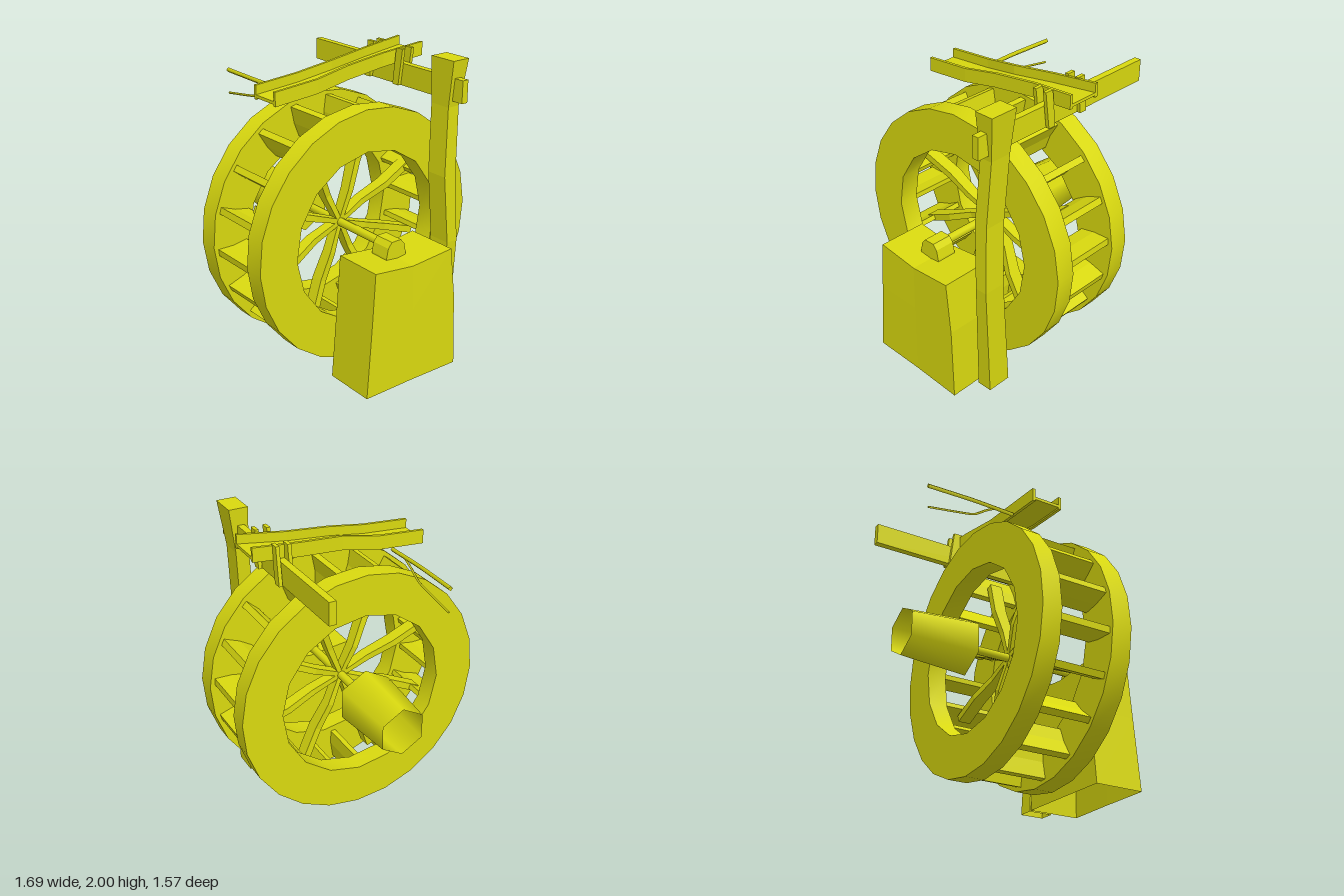
import * as THREE from 'three';
import { toCreasedNormals } from 'three/addons/utils/BufferGeometryUtils.js';

const AXLE_Y = 0.873;

// Joins rings of corners (counter-clockwise seen from the far end) with flat faces
function loft(rings, openStart = false) {
  const pos = [];
  const quad = (a, b, c, d) => [a, b, c, a, c, d].forEach((p) => pos.push(...p));
  const n = rings[0].length;
  for (let k = 0; k < rings.length - 1; k++) {
    for (let i = 0; i < n; i++) {
      const j = (i + 1) % n;
      quad(rings[k][i], rings[k][j], rings[k + 1][j], rings[k + 1][i]);
    }
  }
  const first = rings[0], last = rings[rings.length - 1];
  for (let i = 0; i < n / 2 - 1; i++) {
    quad(last[i], last[i + 1], last[n - 2 - i], last[n - 1 - i]);
    if (!openStart) quad(first[n - 1 - i], first[n - 2 - i], first[i + 1], first[i]);
  }
  const g = new THREE.BufferGeometry();
  g.setAttribute('position', new THREE.Float32BufferAttribute(pos, 3));
  g.computeVertexNormals();
  return g;
}

// Rectangular section across x, and across y
const ringX = (x, y0, y1, z0, z1) => [[x, y0, z1], [x, y0, z0], [x, y1, z0], [x, y1, z1]];
const ringY = (y, x0, x1, z0, z1) => [[x0, y, z1], [x1, y, z1], [x1, y, z0], [x0, y, z0]];

export function createModel() {
  const model = new THREE.Group();
  model.name = 'waterWheel';
  const wood = new THREE.MeshStandardMaterial({ color: 0xd9d90f, side: THREE.DoubleSide });
  wood.name = 'yellowWood';

  const add = (name, geometry, parent = model) => {
    const mesh = new THREE.Mesh(geometry, wood);
    mesh.name = name;
    parent.add(mesh);
    return mesh;
  };

  // Wheel, turning about its own z axis
  const wheel = new THREE.Group();
  wheel.name = 'wheel';
  wheel.position.y = AXLE_Y;
  model.add(wheel);

  const polygon = (r, n) => Array.from({ length: n }, (_, i) => {
    const a = THREE.MathUtils.degToRad(92) + (i / n) * Math.PI * 2;
    return new THREE.Vector2(r * Math.cos(a), r * Math.sin(a));
  });
  const rim = (name, z0, z1) => {
    const shape = new THREE.Shape(polygon(0.847, 24));
    shape.holes.push(new THREE.Path(polygon(0.572, 16).reverse()));
    const g = new THREE.ExtrudeGeometry(shape, { depth: z1 - z0, bevelEnabled: false });
    add(name, toCreasedNormals(g, 0.6), wheel).position.z = z0;
  };
  rim('frontRim', 0.21, 0.35);
  rim('backRim', -0.295, -0.16);

  // Slightly uneven paddles between the rims
  for (let i = 0; i < 18; i++) {
    const g = loft([
      ringX(0.6, -0.02, 0.015, -0.165, 0.215),
      ringX(0.7, -0.012, 0.026, -0.165, 0.215),
      ringX(0.815, -0.024, 0.02, -0.165, 0.215),
    ]);
    add('paddle', g, wheel).rotation.z = ((i + 0.25) / 18) * Math.PI * 2;
  }

  // Spokes with a light wobble
  for (let i = 0; i < 8; i++) {
    const w = i % 2 ? 0.012 : -0.012;
    const g = loft([
      ringX(0.02, -0.016, 0.016, -0.01, 0.06),
      ringX(0.22, -0.022, 0.02, -0.02 + w, 0.06 + w),
      ringX(0.42, -0.024, 0.022, -0.02 - w, 0.07 - w),
      ringX(0.67, -0.022, 0.026, -0.02, 0.07),
    ]);
    add('spoke', g, wheel).rotation.z = THREE.MathUtils.degToRad(25 + i * 45);
  }

  // Axle
  const axle = toCreasedNormals(new THREE.CylinderGeometry(0.029, 0.029, 0.86, 8), 0.9);
  axle.rotateX(Math.PI / 2);
  add('axle', axle, wheel).position.z = 0.08;

  // Tapered six-sided drum, open at the back
  const drum = new THREE.Group();
  drum.name = 'drum';
  drum.position.set(0, AXLE_Y, -0.555);
  model.add(drum);
  const wall = new THREE.CylinderGeometry(0.197, 0.162, 0.455, 6, 1, true);
  wall.rotateX(Math.PI / 2);
  wall.rotateZ(Math.PI);
  add('drumWall', wall, drum);
  const cap = new THREE.CircleGeometry(0.197, 6);
  cap.rotateZ(Math.PI / 2);
  add('drumCap', cap, drum).position.z = 0.2275;

  // Supporting block with a dipped top
  const blockRing = (x0, xm, x1, y, ym, z0, z1) => [
    [x0, y, z1 - 0.02], [xm, ym, z1 - 0.015], [x1, y, z1],
    [x1, y, z0], [xm, ym, z0], [x0, y, z0],
  ];
  add('supportBlock', loft([
    blockRing(-0.355, 0.01, 0.38, 0, 0, 0.415, 0.785),
    blockRing(-0.315, 0.01, 0.36, 0.5, 0.5, 0.415, 0.78),
    blockRing(-0.29, 0.01, 0.32, 0.843, 0.81, 0.415, 0.775),
  ], true));

  // Axle bearing on the block
  const bearing = new THREE.Shape([
    [-0.08, 0.8], [0.08, 0.8], [0.08, 0.83], [0.066, 0.895], [0.038, 0.93],
    [-0.038, 0.93], [-0.066, 0.895], [-0.08, 0.83],
  ].map(([x, y]) => new THREE.Vector2(x, y)));
  add('bearing', new THREE.ExtrudeGeometry(bearing, { depth: 0.14, bevelEnabled: false }))
    .position.z = 0.473;

  // Crooked post
  add('post', loft([
    ringY(0, 0.405, 0.51, 0.42, 0.59),
    ringY(0.8, 0.43, 0.515, 0.475, 0.628),
    ringY(1.25, 0.405, 0.5, 0.455, 0.605),
    ringY(1.7, 0.432, 0.522, 0.432, 0.583),
    ringY(2, 0.43, 0.56, 0.42, 0.615),
  ], true));

  // Cross beam through the post
  add('crossBeam', new THREE.BoxGeometry(0.046, 0.147, 1.455)).position.set(0.482, 1.812, -0.057);

  // Sloping trough: floor and two side boards, [x, bottom, back z, front z]
  const trough = new THREE.Group();
  trough.name = 'trough';
  model.add(trough);
  const stations = [
    [-0.52, 1.765, -0.13, 0.072], [-0.2, 1.79, -0.13, 0.072], [0.05, 1.832, -0.108, 0.06],
    [0.35, 1.865, -0.135, 0.05], [0.665, 1.9, -0.145, 0.078],
  ];
  const h = 0.092;
  add('troughFloor', loft(stations.map(([x, y, b, f]) => ringX(x, y + 0.012, y + 0.032, b, f))), trough);
  add('troughBack', loft(stations.map(([x, y, b]) => ringX(x, y, y + h, b - 0.01, b + 0.01))), trough);
  add('troughFront', loft(stations.map(([x, y, , f]) => ringX(x, y, y + h, f - 0.01, f + 0.01))), trough);

  // Leaning pegs that hold the trough on the beam
  for (const x of [0.445, 0.522]) {
    for (const z of [0.105, -0.178]) {
      add('troughPeg', loft([
        ringY(1.74, x - 0.012, x + 0.012, z - 0.045, z + 0.01),
        ringY(1.985, x - 0.012, x + 0.012, z - 0.015, z + 0.045),
      ]));
    }
  }

  // Thin rods behind the trough
  const rod = (name, points, r) => {
    const path = new THREE.CatmullRomCurve3(points.map((p) => new THREE.Vector3(...p)), false, 'catmullrom', 0.2);
    add(name, new THREE.TubeGeometry(path, 12, r, 4, false));
  };
  rod('upperRod', [[-0.288, 1.776, -0.15], [-0.297, 1.778, -0.45], [-0.29, 1.778, -0.785]], 0.016);
  rod('lowerRod', [[-0.288, 1.775, -0.29], [-0.292, 1.735, -0.36], [-0.296, 1.67, -0.46], [-0.292, 1.62, -0.78]], 0.008);

  return model;
}
